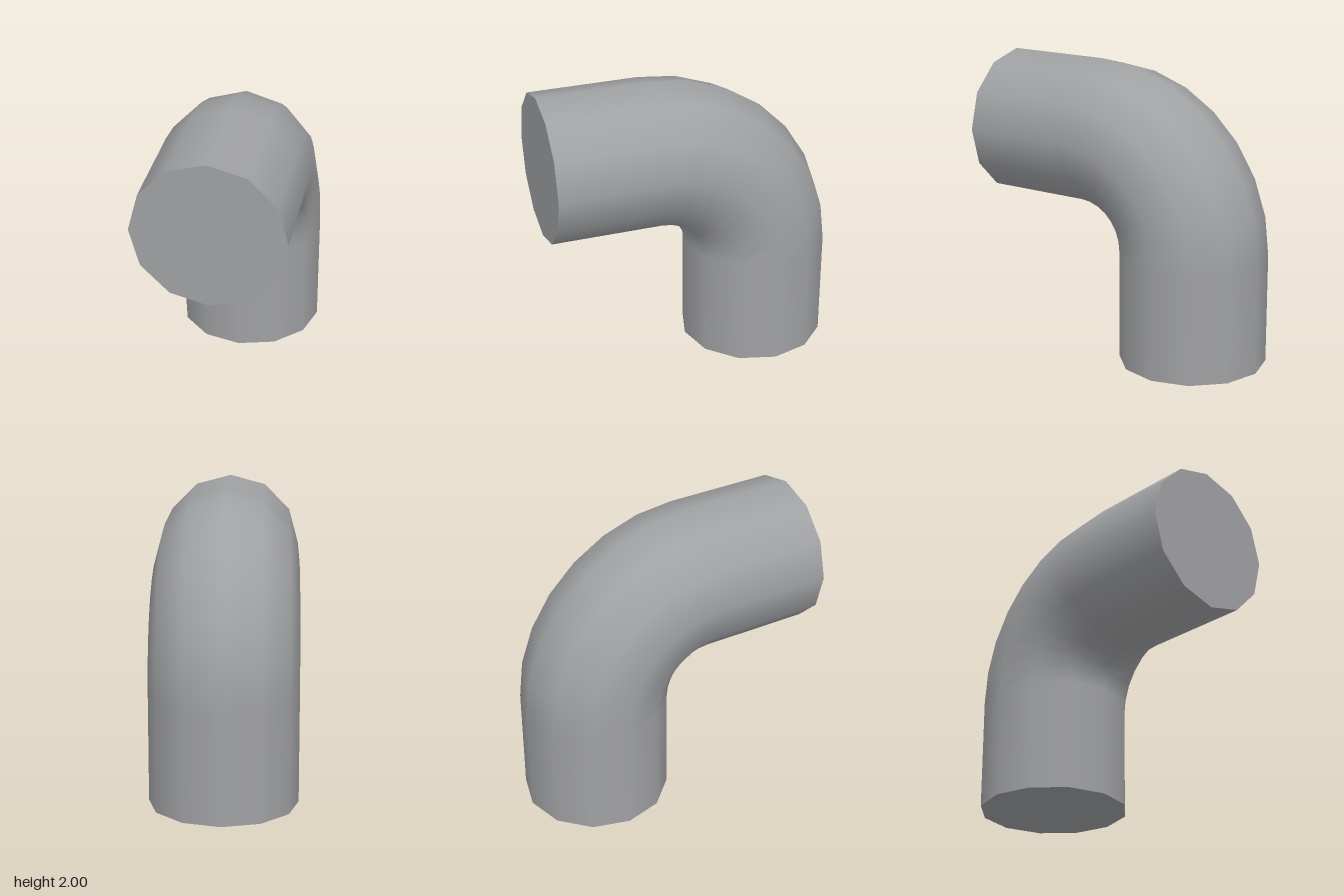
import * as THREE from 'three';

const SIDES = 12, RADIUS = 0.5, BEND_RADIUS = 0.75, BEND_STEPS = 7;

// Sweeps a twelve-sided section along a straight, a quarter bend and a straight.
function elbowGeometry() {
  const rings = [{ angle: 0, y: 1.5, z: 1 }];
  for (let i = 0; i <= BEND_STEPS; i++) {
    const angle = (i / BEND_STEPS) * Math.PI / 2;
    rings.push({
      angle,
      y: 0.75 + BEND_RADIUS * Math.cos(angle),
      z: 0.25 - BEND_RADIUS * Math.sin(angle),
    });
  }
  rings.push({ angle: Math.PI / 2, y: 0, z: -0.5 });

  const positions = [], normals = [], indices = [];
  rings.forEach(({ angle, y, z }, i) => {
    for (let j = 0; j < SIDES; j++) {
      const t = (j / SIDES) * Math.PI * 2;
      const nx = Math.cos(t);
      const ny = Math.sin(t) * Math.cos(angle);
      const nz = -Math.sin(t) * Math.sin(angle);
      positions.push(nx * RADIUS, y + ny * RADIUS, z + nz * RADIUS);
      normals.push(nx, ny, nz);
      if (i < rings.length - 1) {
        const a = i * SIDES + j, b = i * SIDES + (j + 1) % SIDES;
        indices.push(a, a + SIDES, b, b, a + SIDES, b + SIDES);
      }
    }
  });

  const geometry = new THREE.BufferGeometry();
  geometry.setAttribute('position', new THREE.Float32BufferAttribute(positions, 3));
  geometry.setAttribute('normal', new THREE.Float32BufferAttribute(normals, 3));
  geometry.setIndex(indices);
  return geometry;
}

export function createModel() {
  const group = new THREE.Group();
  group.name = 'pipeElbow';
  const grey = new THREE.MeshStandardMaterial({ color: 0xa0a1a3 });
  grey.name = 'grey';

  // Bent pipe wall
  const pipe = new THREE.Mesh(elbowGeometry(), grey);
  pipe.name = 'pipeWall';

  // Flat closed ends
  const capGeometry = new THREE.CircleGeometry(RADIUS, SIDES);
  const frontCap = new THREE.Mesh(capGeometry, grey);
  frontCap.name = 'frontCap';
  frontCap.position.set(0, 1.5, 1);
  const bottomCap = new THREE.Mesh(capGeometry, grey);
  bottomCap.name = 'bottomCap';
  bottomCap.position.set(0, 0, -0.5);
  bottomCap.rotation.x = Math.PI / 2;

  group.add(pipe, frontCap, bottomCap);
  return group;
}
